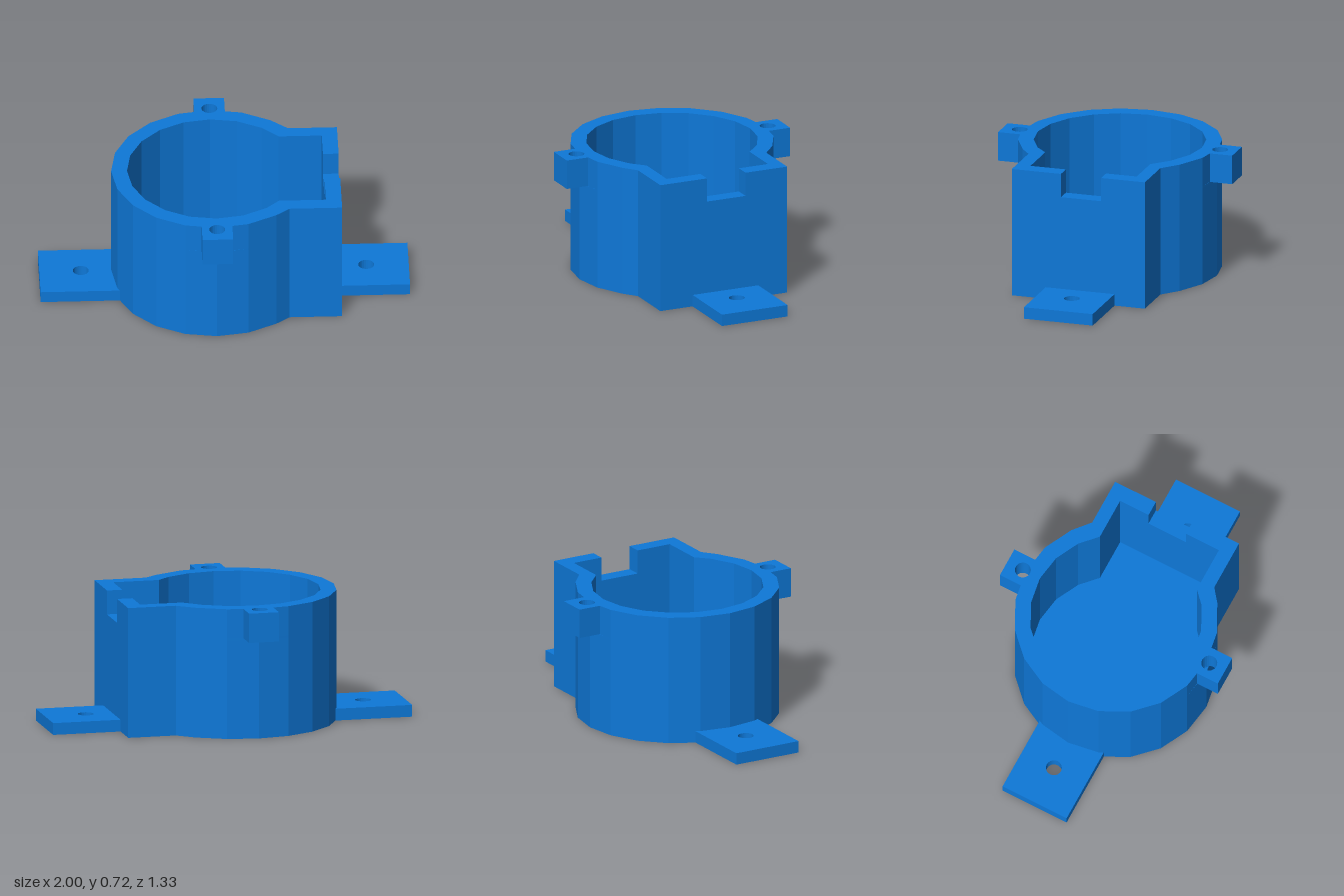
import * as THREE from 'three';

const CX = -0.058;            // centre of the round chamber
const HOLE_Z = 0.571, HOLE_R = 0.043;
const FLOOR = 0.065, BITE = 0.545, TAB = 0.555, NOTCH = 0.585, TOP = 0.717;

const blue = new THREE.MeshStandardMaterial({ color: 0x0e78d8 });
blue.name = 'blue plastic';

const rad = THREE.MathUtils.degToRad;
const onCircle = (r, deg) => [CX + r * Math.cos(rad(deg)), r * Math.sin(rad(deg))];

// Ear detail at the wall's outermost corner, as offsets from the chamber centre
function earPoints(kind) {
  if (kind === 'tab') return [[0.083, 0.54], [0.083, 0.667], [-0.083, 0.667], [-0.083, 0.54]];
  if (kind === 'bite') {
    return [-30, -60, -90, -120, -150].map(a =>
      [HOLE_R * Math.cos(rad(a)), HOLE_Z + HOLE_R * Math.sin(rad(a))]);
  }
  return [[0, 0.553]];
}

// Outside of the body (counter-clockwise, y of the shape is -z), open on the +x side
function outerPoints(kind) {
  const pts = [[0.625, 0.368], [0.36, 0.368]];
  for (let a = 54; a <= 306; a += 18) {
    if (a === 90) earPoints(kind).forEach(([x, y]) => pts.push([CX + x, y]));
    else if (a === 270) earPoints(kind).forEach(([x, y]) => pts.push([CX - x, -y]));
    else pts.push(onCircle(0.553, a));
  }
  pts.push([0.34, -0.39], [0.625, -0.39]);
  return pts;
}

// Inside of the body: round chamber plus rectangular pocket
function cavityPoints() {
  const pts = [[0.54, 0.293], [0.307, 0.293]];
  for (let a = 54; a <= 306; a += 18) pts.push(onCircle(0.467, a));
  pts.push([0.286, -0.312], [0.54, -0.312]);
  return pts;
}

const toVectors = pts => pts.map(([x, y]) => new THREE.Vector2(x, y));

function addHole(shape, x, y) {
  shape.holes.push(new THREE.Path().absarc(x, y, HOLE_R, 0, Math.PI * 2, true));
}

// Extrude a plan shape upward from y0 to y1
function slab(name, shape, y0, y1) {
  const geo = new THREE.ExtrudeGeometry(shape, { depth: y1 - y0, bevelEnabled: false, curveSegments: 12 });
  geo.rotateX(-Math.PI / 2).translate(0, y0, 0);
  const mesh = new THREE.Mesh(geo, blue);
  mesh.name = name;
  return mesh;
}

function wallShape(kind, notched) {
  let shape;
  if (notched) {
    // C-shaped wall, open at the cable notch
    shape = new THREE.Shape(toVectors([
      [0.625, 0.119], ...outerPoints(kind), [0.625, -0.11],
      [0.54, -0.11], ...cavityPoints().reverse(), [0.54, 0.119],
    ]));
  } else {
    shape = new THREE.Shape(toVectors(outerPoints(kind)));
    shape.holes.push(new THREE.Path(toVectors(cavityPoints())));
  }
  if (kind === 'tab') [1, -1].forEach(s => addHole(shape, CX, s * HOLE_Z));
  return shape;
}

// Flat mounting foot with a screw hole
function foot(name, x0, x1, holeX) {
  const shape = new THREE.Shape(toVectors([[x0, -0.197], [x1, -0.197], [x1, 0.195], [x0, 0.195]]));
  addHole(shape, holeX, 0);
  return slab(name, shape, 0, FLOOR);
}

export function createModel() {
  const model = new THREE.Group();
  model.name = 'sensorHousing';
  model.add(
    slab('floor', new THREE.Shape(toVectors(outerPoints('plain'))), 0, FLOOR),
    slab('lowerWall', wallShape('plain', false), FLOOR, BITE),
    slab('screwRecess', wallShape('bite', false), BITE, TAB),
    slab('earBase', wallShape('tab', false), TAB, NOTCH),
    slab('rimWithEarsAndNotch', wallShape('tab', true), NOTCH, TOP),
    foot('leftFoot', 0.625, 1, 0.77),
    foot('rightFoot', -1, -0.57, -0.775),
  );
  return model;
}
